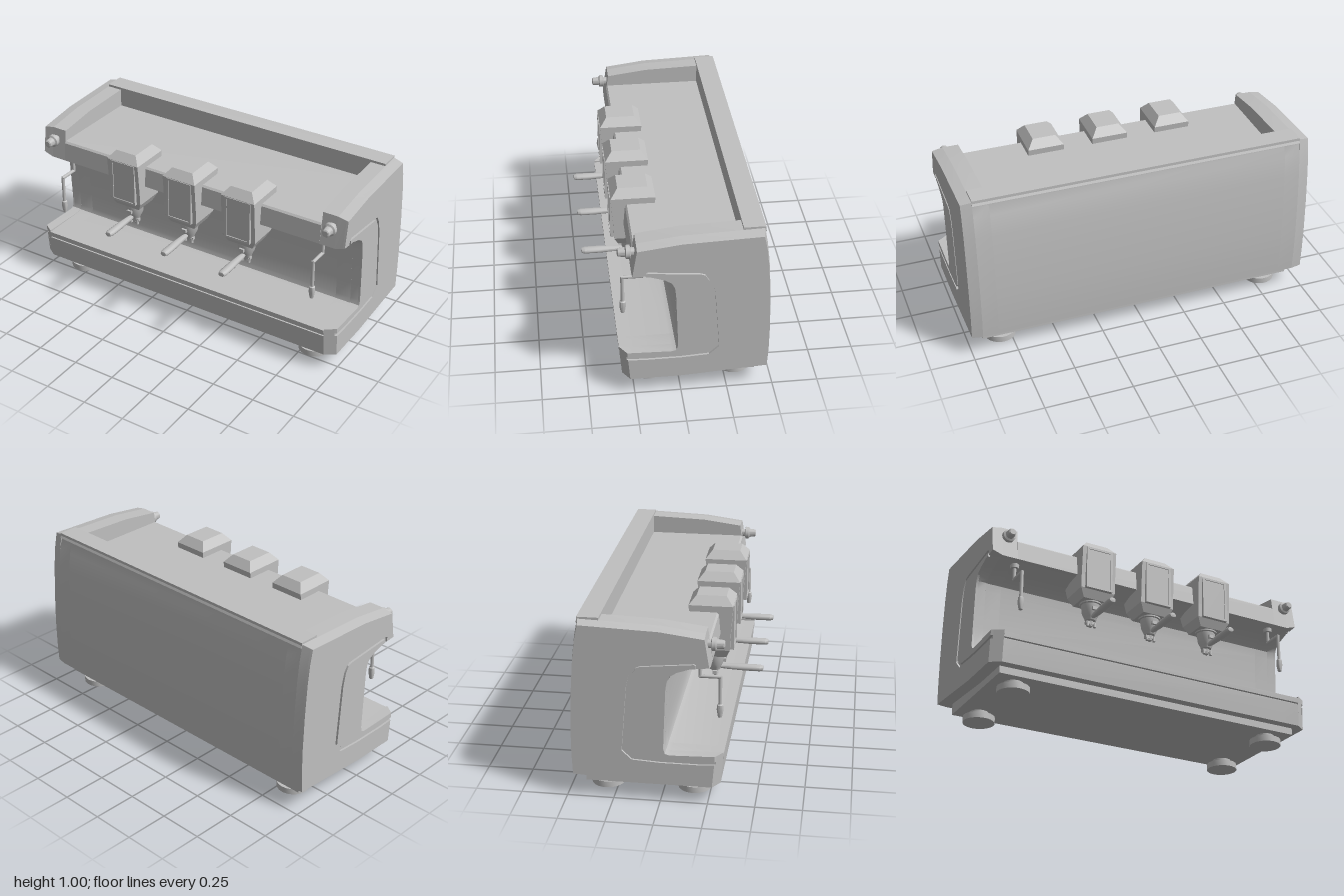
import * as THREE from 'three';
import { toCreasedNormals } from 'three/addons/utils/BufferGeometryUtils.js';

export function createModel() {
  const root = new THREE.Group();
  root.name = 'espressoMachine';
  const steel = new THREE.MeshStandardMaterial({ color: 0xc0c0c0 });
  steel.name = 'brushed steel';

  const add = (name, geo, parent = root, x = 0, y = 0, z = 0) => {
    const m = new THREE.Mesh(geo, steel);
    m.name = name;
    m.position.set(x, y, z);
    parent.add(m);
    return m;
  };
  // Side profile of [z, y] points, extruded from x0 to x1
  const prism = (pts, x0, x1) => {
    const shape = new THREE.Shape(pts.map(([z, y]) => new THREE.Vector2(-z, y)));
    const g = new THREE.ExtrudeGeometry(shape, { depth: x1 - x0, bevelEnabled: false });
    return g.rotateY(Math.PI / 2).translate(x0, 0, 0);
  };
  const lathe = (pts, seg = 24) =>
    toCreasedNormals(new THREE.LatheGeometry(pts.map(([r, y]) => new THREE.Vector2(r, y)), seg), 0.6);
  const box = (x0, x1, y0, y1, z0, z1) =>
    new THREE.BoxGeometry(x1 - x0, y1 - y0, z1 - z0).translate((x0 + x1) / 2, (y0 + y1) / 2, (z0 + z1) / 2);
  const rod = (a, b, r) => {
    const A = new THREE.Vector3(...a), B = new THREE.Vector3(...b), d = B.clone().sub(A);
    const g = new THREE.CylinderGeometry(r, r, d.length() + r, 10);
    g.applyQuaternion(new THREE.Quaternion().setFromUnitVectors(new THREE.Vector3(0, 1, 0), d.normalize()));
    return g.translate((A.x + B.x) / 2, (A.y + B.y) / 2, (A.z + B.z) / 2);
  };

  // Taper of the end panels: chamfered front, back, top and canopy edge
  const IN = 0.94;
  const taper = geo => {
    const p = geo.attributes.position;
    for (let i = 0; i < p.count; i++) {
      const t = (Math.abs(p.getX(i)) - IN) / (1 - IN);
      let y = p.getY(i), z = p.getZ(i);
      if (y > 0.7 && y < 0.782 && z > 0.04) y -= 0.02 * (1 - t);
      else if (y > 0.94) y -= 0.012 * t;
      if (z > 0.28) z -= 0.04 * t;
      if (z < -0.42) z += 0.012 * t;
      p.setXYZ(i, p.getX(i), y, z);
    }
    geo = geo.index ? geo.toNonIndexed() : geo;
    return toCreasedNormals(geo, 0.5);
  };

  // Profiles, all as [z, y]
  const bay = [[0.05, 0.273], [0.025, 0.28], [0.017, 0.31], [0.021, 0.42], [0.03, 0.64],
    [0.036, 0.69], [0.052, 0.722], [0.09, 0.746], [0.16, 0.77]];
  const nose = [[0.255, 0.78], [0.23, 0.945]];
  const top = [[0, 0.975], [-0.43, 0.99]];
  const back = [[-0.447, 0.9], [-0.462, 0.78], [-0.475, 0.6], [-0.483, 0.4], [-0.483, 0.25], [-0.478, 0.13]];
  const foot = [[0, 0.1], [0.313, 0.1]];
  const coreBay = [[0.31, 0.23], [0.31, 0.24], [0.326, 0.24], [0.327, 0.27],
    ...bay.map(([z, y]) => [z, y > 0.7 ? y - 0.02 : y - 0.002]), [0.255, 0.76]];
  const coreBack = [[-0.44, 0.97], [-0.43, 0.968], [-0.43, 0.958], ...back];

  // Main body with the recessed cup tray between two shoulders
  add('mainBody', toCreasedNormals(prism([[0.323, 0.23], ...coreBay, [0.245, 0.87], [0.235, 0.88],
    [-0.32, 0.88], [-0.32, 0.987], [-0.43, 0.99], ...coreBack, ...foot], -0.85, 0.85), 0.5));
  add('rearTopPlate', box(-0.94, 0.94, 0.984, 1, -0.435, -0.32));

  // Grooved line on each end panel: outer and inner edges
  const grooveOut = [[0.324, 0.231], [0.2, 0.226], [0, 0.226], [-0.15, 0.235], [-0.203, 0.285], [-0.19, 0.45],
    [-0.174, 0.65], [-0.157, 0.73], [-0.133, 0.772], [-0.1, 0.784], [0.18, 0.81], [0.2, 0.8], [0.2, 0.774]];
  const grooveIn = [[0.326, 0.249], [0.2, 0.243], [0, 0.243], [-0.14, 0.252], [-0.186, 0.293], [-0.174, 0.45],
    [-0.158, 0.65], [-0.142, 0.722], [-0.122, 0.758], [-0.1, 0.767], [0.176, 0.794], [0.185, 0.79], [0.185, 0.772]];
  const whole = [[0.327, 0.28], ...bay, ...nose, ...top, ...back, ...foot];
  const outerSkin = [...grooveOut, ...nose, ...top, ...back, ...foot];
  const innerSkin = [...grooveIn, ...[...bay].reverse(), [0.327, 0.28]];

  for (const s of [1, -1]) {
    const side = new THREE.Group();
    side.name = s > 0 ? 'leftEnd' : 'rightEnd';
    root.add(side);
    const slab = (pts, a, b) => (s > 0 ? prism(pts, a, b) : prism(pts, -b, -a));
    add('shoulder', toCreasedNormals(slab([[0.323, 0.23], ...coreBay, nose[1], ...top, ...coreBack, ...foot],
      0.85, IN), 0.5), side);
    add('endPanelCore', taper(slab(whole, IN, 0.988)), side);
    add('endPanelOuter', taper(slab(outerSkin, 0.988, 1)), side);
    add('endPanelTrim', taper(slab(innerSkin, 0.988, 1)), side);

    // Steam knob
    const knob = lathe([[0, 0], [0.022, 0], [0.022, 0.02], [0.037, 0.025], [0.036, 0.045], [0.026, 0.05],
      [0.022, 0.085], [0.016, 0.09], [0, 0.09]], 16);
    add('steamKnob', knob.rotateX(Math.PI / 2), side, s * 0.915, 0.88, 0.235);

    // Steam wand
    const wand = new THREE.Group();
    wand.name = 'steamWand';
    wand.position.x = s * 0.84;
    side.add(wand);
    add('wandMount', new THREE.CylinderGeometry(0.026, 0.024, 0.04, 16), wand, 0, 0.752, 0.19);
    const path = [[0, 0.77, 0.19], [0, 0.664, 0.19], [0, 0.664, 0.295], [0, 0.49, 0.295]];
    for (let i = 0; i < 3; i++) add('wandPipe', rod(path[i], path[i + 1], 0.01), wand);
    add('wandTip', lathe([[0, 0.435], [0.011, 0.435], [0.018, 0.475], [0.016, 0.505], [0.01, 0.51], [0, 0.51]], 12),
      wand, 0, 0, 0.295);

    // Feet
    for (const z of [0.16, -0.313])
      add('adjustableFoot', lathe([[0, 0], [0.09, 0], [0.09, 0.035], [0.068, 0.035], [0.068, 0.046],
        [0.055, 0.046], [0.055, 0.065], [0, 0.065]], 28), side, s * 0.805, 0, z);
  }
  add('basePlate', box(-0.93, 0.93, 0.06, 0.125, -0.41, 0.26));

  // Brew head housing: rectangular rings of [y, half width, back z, front z]
  const rings = [[0.61, 0.078, 0.15, 0.285], [0.66, 0.105, 0.13, 0.306], [0.74, 0.105, 0.098, 0.309],
    [0.915, 0.105, 0.08, 0.322], [0.962, 0.066, 0.12, 0.282]];
  const housing = () => {
    const g = new THREE.BoxGeometry(2, 4, 2, 1, 4, 1).toNonIndexed(), p = g.attributes.position;
    for (let i = 0; i < p.count; i++) {
      const [y, w, zb, zf] = rings[Math.round(p.getY(i) + 2)];
      p.setXYZ(i, p.getX(i) * w, y, p.getZ(i) > 0 ? zf : zb);
    }
    g.computeVertexNormals();
    return g;
  };
  for (const x of [-0.38, 0, 0.38]) {
    const head = new THREE.Group();
    head.name = 'brewHead';
    head.position.x = x;
    root.add(head);
    add('housing', housing(), head);
    // Display: frame bars around a slightly sunken screen
    add('displayScreen', box(-0.068, 0.068, 0.67, 0.9, 0.3, 0.321), head);
    for (const s of [1, -1]) {
      add('displayFrameSide', box(s * 0.074 - 0.007, s * 0.074 + 0.007, 0.658, 0.912, 0.3, 0.326), head);
      add('displayFrameEnd', box(-0.068, 0.068, 0.785 + s * 0.121 - 0.006, 0.785 + s * 0.121 + 0.006, 0.3, 0.326), head);
    }
    // Group, filter holder and spouts
    add('brewGroup', lathe([[0, 0.465], [0.012, 0.475], [0.016, 0.505], [0.03, 0.508], [0.036, 0.525], [0.048, 0.55],
      [0.054, 0.6], [0.064, 0.602], [0.064, 0.613], [0, 0.613]]), head, 0, 0, 0.215);
    add('spoutBridge', box(-0.03, 0.03, 0.485, 0.502, 0.205, 0.228), head);
    for (const s of [1, -1])
      add('spout', new THREE.CylinderGeometry(0.007, 0.009, 0.028, 10), head, s * 0.022, 0.483, 0.225);
    add('lockLug', box(-0.015, 0.015, 0.555, 0.575, 0.26, 0.277), head);
    add('handleNeck', rod([0, 0.525, 0.23], [0, 0.523, 0.31], 0.011), head);
    const grip = lathe([[0, 0], [0.014, 0], [0.018, 0.025], [0.024, 0.13], [0.024, 0.215], [0.018, 0.232], [0, 0.235]], 12);
    add('handleGrip', grip.rotateX(Math.PI / 2).scale(1, 0.75, 1), head, 0, 0.523, 0.25);
  }
  return root;
}
